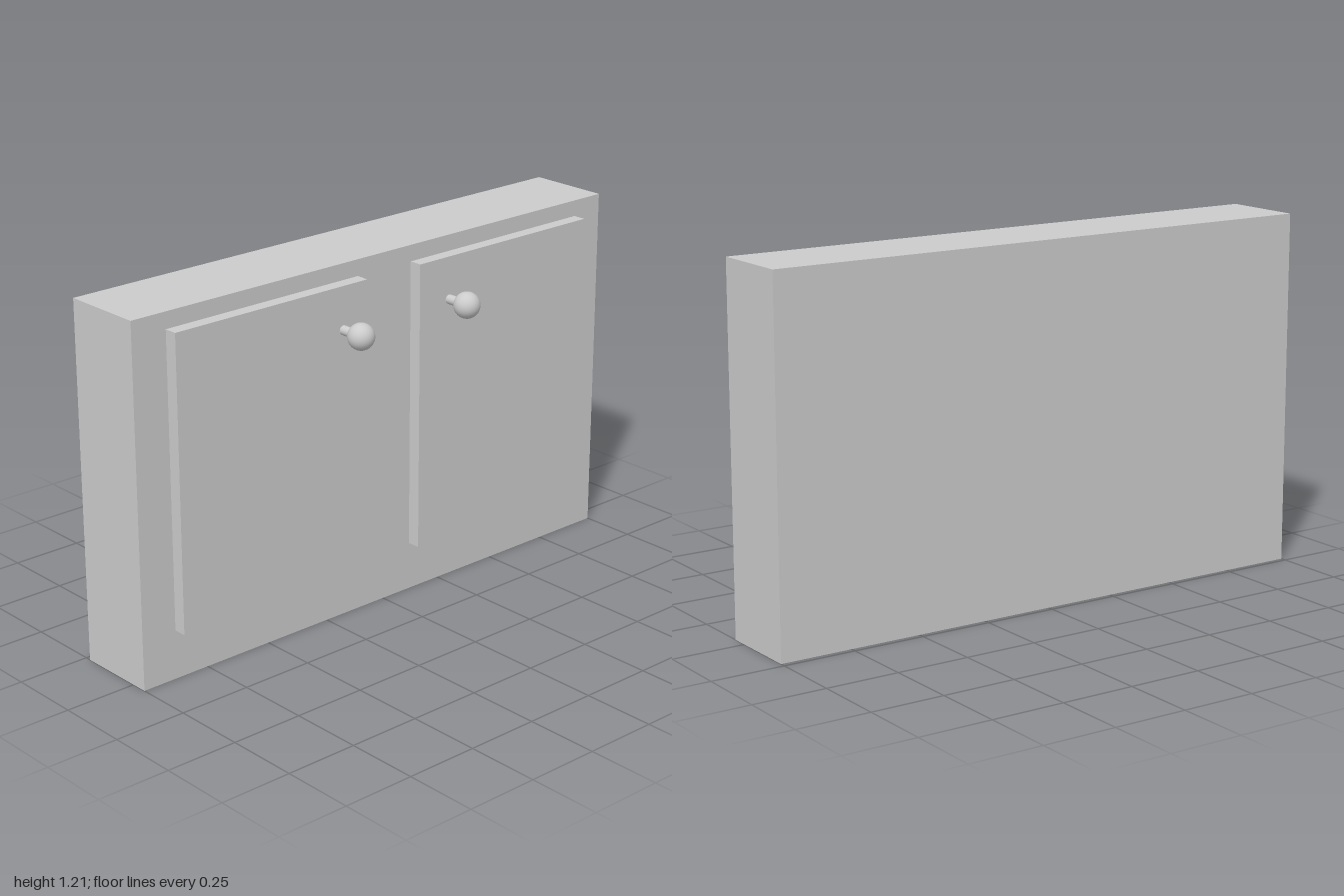
import * as THREE from 'three';

const material = new THREE.MeshStandardMaterial({ color: 0xcccccc });

function addPart(parent, name, geometry, x, y, z) {
  const mesh = new THREE.Mesh(geometry, material);
  mesh.name = name;
  mesh.position.set(x, y, z);
  parent.add(mesh);
  return mesh;
}

// Door panel with a round knob on a short stem, facing +x
function createDoor(name, doorZ, knobZ) {
  const door = new THREE.Group();
  door.name = name;
  addPart(door, 'doorPanel', new THREE.BoxGeometry(0.045, 0.991, 0.763), 0.0785, 0.662, doorZ);
  const stem = addPart(door, 'knobStem', new THREE.CylinderGeometry(0.016, 0.016, 0.09, 24), 0.135, 1.012, knobZ);
  stem.rotation.z = -Math.PI / 2;
  addPart(door, 'knob', new THREE.SphereGeometry(0.0445, 32, 16), 0.184, 1.012, knobZ);
  return door;
}

export function createModel() {
  const cabinet = new THREE.Group();
  cabinet.name = 'cabinet';

  // Solid cabinet body
  addPart(cabinet, 'cabinetBody', new THREE.BoxGeometry(0.286, 1.213, 2), -0.087, 0.6065, 0);

  // Pair of doors with knobs near the middle
  cabinet.add(createDoor('frontDoor', 0.491, 0.21));
  cabinet.add(createDoor('rearDoor', -0.5, -0.249));

  return cabinet;
}
